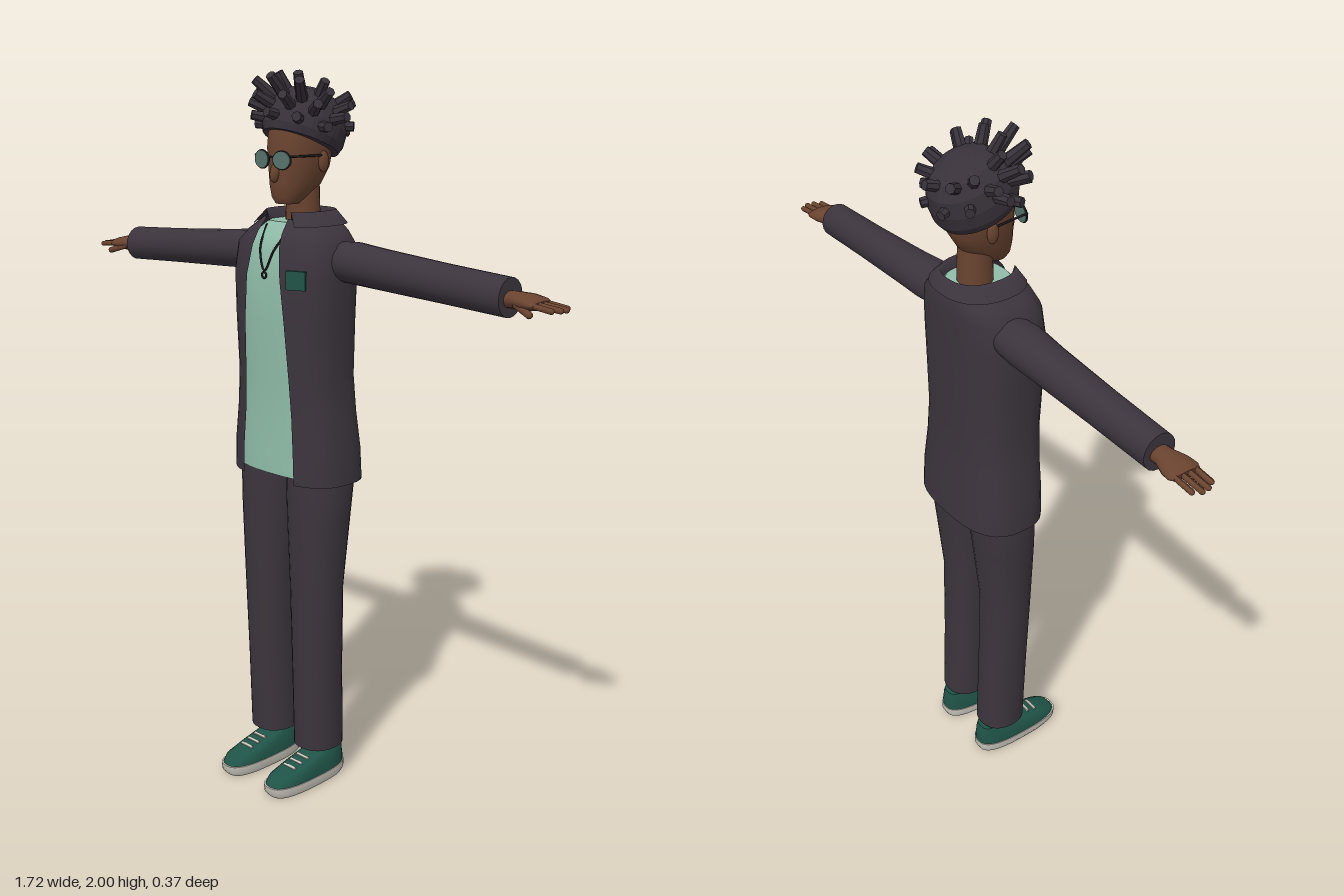
import * as THREE from 'three';

const mat = (name, color, side = THREE.FrontSide) => {
  const m = new THREE.MeshStandardMaterial({ color, side });
  m.name = name;
  return m;
};

// Horizontal squarish ring from +z round by +x; gap is the half width left open at the front
function ringY([y, cx, rx, zf, zb, gap = 0], p = 0.8, n = 32) {
  const cz = (zf + zb) / 2, rz = (zf - zb) / 2, pts = [];
  const pw = (v) => Math.sign(v) * Math.abs(v) ** p;
  const a0 = gap ? Math.asin((gap / rx) ** (1 / p)) : 0;
  for (let i = 0; i < (gap ? n + 1 : n); i++) {
    const a = a0 + (i / n) * (Math.PI * 2 - 2 * a0);
    pts.push([cx + rx * pw(Math.sin(a)), y, cz + rz * pw(Math.cos(a))]);
  }
  return pts;
}

// Upright ring around the x axis
function ringX([x, cy, ry, cz, rz], n = 20) {
  return Array.from({ length: n }, (_, i) => {
    const a = (i / n) * Math.PI * 2;
    return [x, cy + ry * Math.cos(a), cz + rz * Math.sin(a)];
  });
}

// Skin a list of rings; closed lofts get flat end caps
function loft(rings, closed = true) {
  const n = rings[0].length, pos = rings.flat(2), idx = [];
  for (let r = 0; r < rings.length - 1; r++) {
    for (let i = 0; i < (closed ? n : n - 1); i++) {
      const j = (i + 1) % n, a = r * n + i, b = r * n + j;
      idx.push(a, b, b + n, a, b + n, a + n);
    }
  }
  if (closed) {
    [rings[0], rings[rings.length - 1]].forEach((ring, top) => {
      const base = pos.length / 3;
      pos.push(...ring.flat());
      pos.push(...[0, 1, 2].map((k) => ring.reduce((s, q) => s + q[k], 0) / n));
      for (let i = 0; i < n; i++) {
        const a = base + i, b = base + ((i + 1) % n);
        idx.push(...(top ? [a, b, base + n] : [b, a, base + n]));
      }
    });
  }
  const g = new THREE.BufferGeometry();
  g.setAttribute('position', new THREE.Float32BufferAttribute(pos, 3));
  g.setIndex(idx);
  g.computeVertexNormals();
  return g;
}

// Copy reflected in x, with the corner order restored
function mirrored(geo) {
  const g = geo.clone().scale(-1, 1, 1), ix = g.index.array;
  for (let i = 0; i < ix.length; i += 3) [ix[i], ix[i + 1]] = [ix[i + 1], ix[i]];
  g.computeVertexNormals();
  return g;
}

// Rounded stick between two points
function stick(a, b, r) {
  const A = new THREE.Vector3(...a), B = new THREE.Vector3(...b), d = B.clone().sub(A);
  const g = new THREE.CapsuleGeometry(r, d.length(), 4, 10);
  g.applyQuaternion(new THREE.Quaternion().setFromUnitVectors(new THREE.Vector3(0, 1, 0), d.normalize()));
  const c = A.add(B).multiplyScalar(0.5);
  return g.translate(c.x, c.y, c.z);
}

export function createModel() {
  const model = new THREE.Group();
  model.name = 'standingMan';
  const cloth = mat('charcoal cloth', 0x3c343d);
  const clothOpen = mat('charcoal jacket', 0x3c343d, THREE.DoubleSide);
  const hairMat = mat('dark hair', 0x38313a);
  const skin = mat('brown skin', 0x69432f);
  const shirtMat = mat('mint shirt', 0x90bda9);
  const green = mat('deep green', 0x1f5347);
  const white = mat('off white', 0xc9c6bb);
  const lensMat = mat('smoky lens', 0x55736c);
  const black = mat('black trim', 0x1b191c);

  const add = (name, geo, m, parent = model) => {
    const mesh = new THREE.Mesh(geo, m);
    mesh.name = name;
    parent.add(mesh);
    return mesh;
  };
  const pair = (name, geo, m) => {
    add('left' + name, geo, m);
    add('right' + name, mirrored(geo), m);
  };

  // Open jacket, with the shirt as an inset copy: y, centre x, half width, front z, back z, opening
  const body = [
    [0.91, 0, 0.195, 0.1, -0.145, 0.098], [1.0, 0, 0.192, 0.1, -0.14, 0.095],
    [1.1, 0, 0.179, 0.098, -0.132, 0.088], [1.2, 0, 0.169, 0.102, -0.13, 0.082],
    [1.35, 0, 0.172, 0.11, -0.133, 0.074], [1.47, 0, 0.176, 0.112, -0.135, 0.062],
    [1.55, 0, 0.17, 0.1, -0.135, 0.05], [1.585, 0, 0.135, 0.085, -0.132, 0.045],
    [1.62, 0, 0.085, 0.06, -0.12, 0.04],
  ];
  add('jacket', loft(body.map((s) => ringY(s, 0.75)), false), clothOpen);
  add('shirt', loft(body.map(([y, , rx, zf, zb], i) =>
    ringY([i ? y - 0.01 : 0.925, 0, rx - 0.012, zf - 0.012, zb + 0.012], 0.75))), shirtMat);
  add('collar', loft([
    [1.602, 0, 0.122, 0.085, -0.148, 0.075], [1.638, 0, 0.085, 0.06, -0.125, 0.045],
    [1.605, 0, 0.078, 0.05, -0.115, 0.04],
  ].map((s) => ringY(s, 0.85)), false), clothOpen);
  const pocket = add('chestPocket', new THREE.BoxGeometry(0.055, 0.05, 0.009), green);
  pocket.position.set(0.111, 1.47, 0.097);
  pocket.rotation.y = 0.41;

  // Necklace
  const cord = new THREE.CatmullRomCurve3([[-0.046, 1.6, 0.05], [-0.026, 1.54, 0.094], [0, 1.485, 0.104],
    [0.026, 1.54, 0.094], [0.046, 1.6, 0.05]].map((p) => new THREE.Vector3(...p)));
  add('necklaceCord', new THREE.TubeGeometry(cord, 32, 0.003, 6), black);
  add('pendant', new THREE.TorusGeometry(0.008, 0.003, 6, 14), black).position.set(0, 1.474, 0.105);

  // Trousers
  pair('TrouserLeg', loft([
    [0.108, 0.089, 0.066, 0.052, -0.09], [0.35, 0.09, 0.067, 0.06, -0.082],
    [0.6, 0.092, 0.074, 0.066, -0.076], [0.8, 0.091, 0.085, 0.072, -0.098],
    [0.9, 0.09, 0.09, 0.073, -0.11], [0.96, 0.085, 0.085, 0.07, -0.11],
  ].map((s) => ringY(s, 0.9, 24))), cloth);

  // Shoes
  pair('ShoeSole', loft([
    [0, 0.09, 0.048, 0.172, -0.098], [0.012, 0.09, 0.054, 0.182, -0.104], [0.032, 0.09, 0.054, 0.184, -0.104],
  ].map((s) => ringY(s, 0.72))), white);
  pair('ShoeUpper', loft([
    [0.03, 0.09, 0.052, 0.18, -0.102], [0.048, 0.09, 0.05, 0.168, -0.102], [0.064, 0.09, 0.045, 0.115, -0.1],
    [0.08, 0.09, 0.04, 0.05, -0.098], [0.094, 0.09, 0.033, -0.005, -0.094],
  ].map((s) => ringY(s, 0.75))), green);
  for (const [y, z] of [[0.067, 0.1], [0.074, 0.074], [0.081, 0.048]]) {
    pair('ShoeLace', new THREE.BoxGeometry(0.045, 0.006, 0.008).rotateX(0.26).translate(0.09, y, z), white);
  }

  // Sleeves and hands: x, centre y, half height, centre z, half depth
  pair('Sleeve', loft([
    [0.13, 1.512, 0.05, -0.035, 0.055], [0.2, 1.512, 0.055, -0.035, 0.062], [0.3, 1.505, 0.053, -0.035, 0.056],
    [0.5, 1.493, 0.05, -0.034, 0.05], [0.7, 1.482, 0.049, -0.033, 0.047],
  ].map((s) => ringX(s))), cloth);
  pair('Palm', loft([
    [0.68, 1.478, 0.021, -0.033, 0.026], [0.72, 1.479, 0.021, -0.033, 0.029], [0.755, 1.478, 0.021, -0.034, 0.043],
    [0.78, 1.477, 0.016, -0.034, 0.046], [0.792, 1.476, 0.008, -0.034, 0.04],
  ].map((s) => ringX(s))), skin);
  [0.84, 0.852, 0.85, 0.838].forEach((tip, i) => {
    const z = -0.063 + i * 0.02;
    pair('Finger', stick([0.77, 1.478, z], [tip, 1.47, z], 0.0075), skin);
  });
  pair('Thumb', stick([0.735, 1.472, -0.008], [0.785, 1.456, 0.008], 0.009), skin);

  // Neck, head and face
  add('neck', new THREE.CylinderGeometry(0.044, 0.048, 0.14, 24), skin).position.set(0, 1.645, -0.04);
  add('head', loft([
    [1.656, 0, 0.03, 0.048, -0.01], [1.672, 0, 0.042, 0.059, -0.035], [1.705, 0, 0.057, 0.063, -0.085],
    [1.75, 0, 0.07, 0.062, -0.112], [1.8, 0, 0.076, 0.064, -0.122], [1.86, 0, 0.073, 0.058, -0.115],
    [1.91, 0, 0.05, 0.03, -0.09],
  ].map((s) => ringY(s, 0.92))), skin);
  const nose = add('nose', new THREE.SphereGeometry(1, 14, 10), skin);
  nose.scale.set(0.013, 0.028, 0.016);
  nose.position.set(0, 1.74, 0.062);
  nose.rotation.x = -0.25;
  pair('Ear', new THREE.SphereGeometry(1, 12, 10).scale(0.01, 0.028, 0.017).translate(0.076, 1.765, -0.04), skin);

  // Glasses
  const oval = (k) => new THREE.CylinderGeometry(k, k, 0.006, 24).rotateX(Math.PI / 2).scale(1.15, 0.92, 1);
  pair('Lens', oval(0.024).rotateY(0.12).translate(0.037, 1.772, 0.074), lensMat);
  pair('LensRim', new THREE.TorusGeometry(0.025, 0.0025, 6, 28).scale(1.15, 0.92, 1).rotateY(0.12)
    .translate(0.037, 1.772, 0.074), black);
  pair('Temple', stick([0.066, 1.782, 0.07], [0.079, 1.782, -0.035], 0.003), black);
  add('glassesBridge', stick([-0.01, 1.779, 0.077], [0.01, 1.779, 0.077], 0.003), black);

  // Hair cap, tilted down at the back
  const hair = new THREE.Group();
  hair.name = 'hair';
  hair.position.set(0, 1.81, -0.03);
  hair.rotation.x = -0.4;
  model.add(hair);
  const profile = [[0, 0], [0.93, 0], [1, 0.02], [1, 0.055], [0.9, 0.095], [0.68, 0.125], [0.35, 0.141], [0, 0.145]];
  const cap = new THREE.LatheGeometry(profile.map((p) => new THREE.Vector2(...p)), 32).scale(0.108, 1, 0.115);
  cap.computeVertexNormals();
  add('hairCap', cap, hairMat, hair);

  // Locks in rows: elevation, reach, extra reach at the front, azimuths
  const up = new THREE.Vector3(0, 1, 0), rad = Math.PI / 180;
  const lock = new THREE.CylinderGeometry(0.013, 0.017, 0.075, 7);
  const rows = [
    [22, 0.153, 0.03, [0, 30, -30, 60, -60, 90, -90]],
    [-8, 0.142, 0.006, [0, 35, -35, 70, -70]],
    [8, 0.155, 0.012, [18, -18, 52, -52, 85, -85]],
    [40, 0.143, 0.012, [18, -18, 55, -55]],
    [42, 0.142, 0, [180, 138, -138, 105, -105]],
    [12, 0.128, 0, [160, -160, 125, -125]],
  ];
  for (const [el, reach, extra, azimuths] of rows) {
    for (const az of azimuths) {
      const c = Math.cos(el * rad);
      const dir = new THREE.Vector3(Math.sin(az * rad) * c, Math.sin(el * rad), Math.cos(az * rad) * c);
      const mesh = add('hairLock', lock, hairMat, hair);
      mesh.quaternion.setFromUnitVectors(up, dir);
      mesh.position.copy(dir).multiplyScalar(reach + extra * Math.cos(az * rad) - 0.0375);
      mesh.position.y += 0.05;
    }
  }
  hairMat.flatShading = true;
  return model;
}
